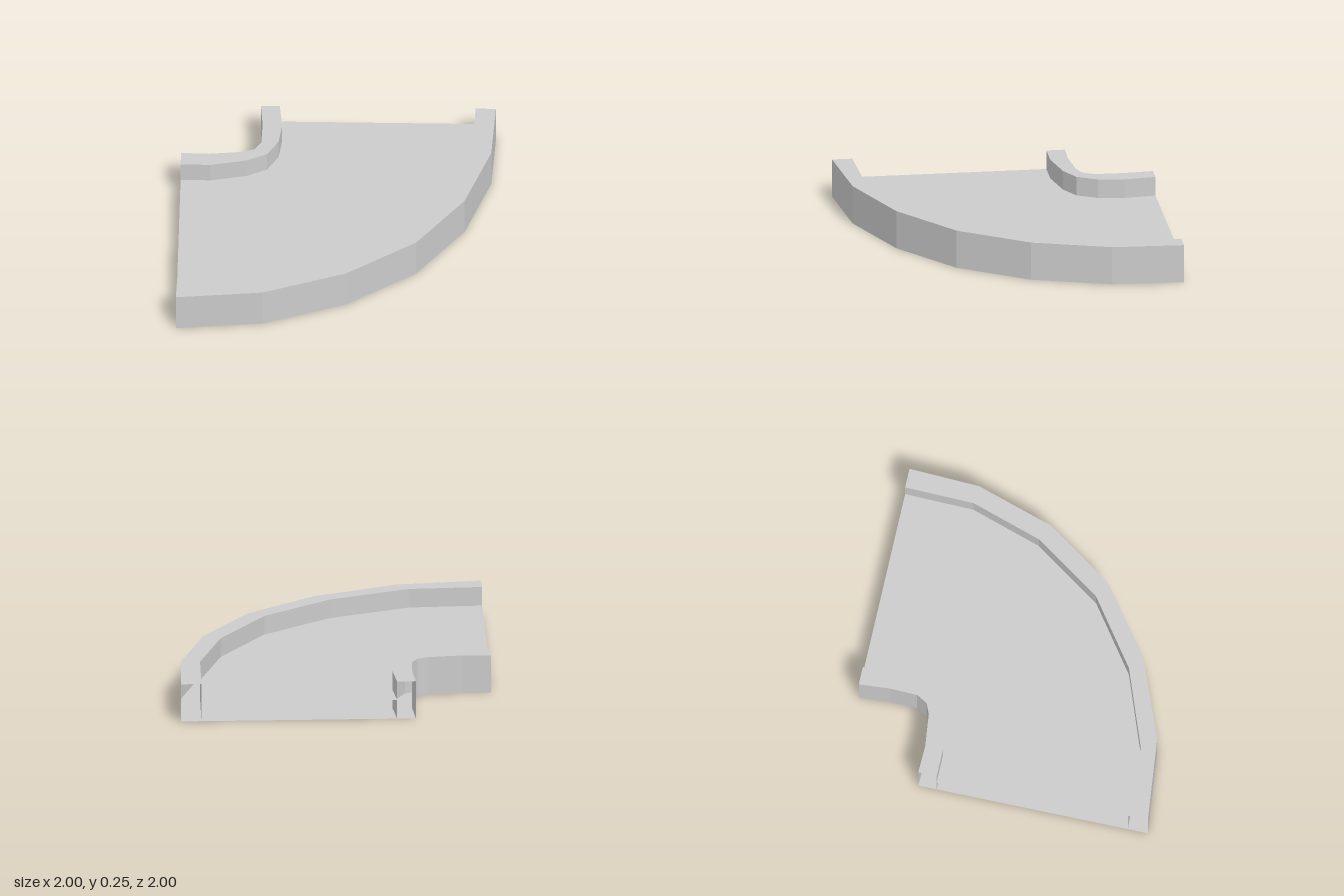
import * as THREE from 'three';

const TOP = 0.25, DECK = 0.125;

// Plan outlines [x, z], all running from the left-hand end to the back end
const outerRim = [[-1, 1], [-0.45, 0.94], [0.08, 0.73], [0.52, 0.4], [0.82, -0.04], [0.98, -0.54], [1, -1]];
const outerLip = [[-1, 0.87], [-0.53, 0.85], [-0.02, 0.66], [0.41, 0.35], [0.71, -0.09], [0.86, -0.55], [0.87, -1]];
const innerLip = [[-1, -0.38], [-0.81, -0.38], [-0.58, -0.43], [-0.45, -0.5], [-0.38, -0.63], [-0.36, -0.8], [-0.38, -1]];
const innerRim = [[-1, -0.5], [-0.82, -0.495], [-0.6, -0.52], [-0.53, -0.55], [-0.49, -0.62], [-0.485, -0.8], [-0.5, -1]];

const material = new THREE.MeshStandardMaterial({ color: 0xcccccc, flatShading: true, side: THREE.DoubleSide });

const at = (path, y) => path.map(([x, z]) => [x, y, z]);

// Faceted open surface lofted through successive rows of points
function loft(name, ...rows) {
  const pos = [];
  for (let r = 0; r < rows.length - 1; r++) {
    const a = rows[r], b = rows[r + 1];
    for (let i = 0; i < a.length - 1; i++) {
      pos.push(...a[i], ...b[i], ...a[i + 1], ...b[i], ...b[i + 1], ...a[i + 1]);
    }
  }
  const geometry = new THREE.BufferGeometry();
  geometry.setAttribute('position', new THREE.Float32BufferAttribute(pos, 3));
  geometry.computeVertexNormals();
  const mesh = new THREE.Mesh(geometry, material);
  mesh.name = name;
  return mesh;
}

// Hollow kerb, open at both ends: wall, top, wall
const kerb = (name, near, far) => loft(name, at(near, 0), at(near, TOP), at(far, TOP), at(far, 0));

export function createModel() {
  const group = new THREE.Group();
  group.name = 'curvedTrackSection';
  group.add(
    kerb('outerKerb', outerLip, outerRim),
    kerb('innerKerb', innerRim, innerLip),
    // Raised floor between the kerbs
    loft('deck', at(innerLip, DECK), at(outerLip, DECK)),
    // Underside spanning the full width
    loft('base', at(outerRim, 0), at(innerRim, 0)),
  );
  return group;
}
